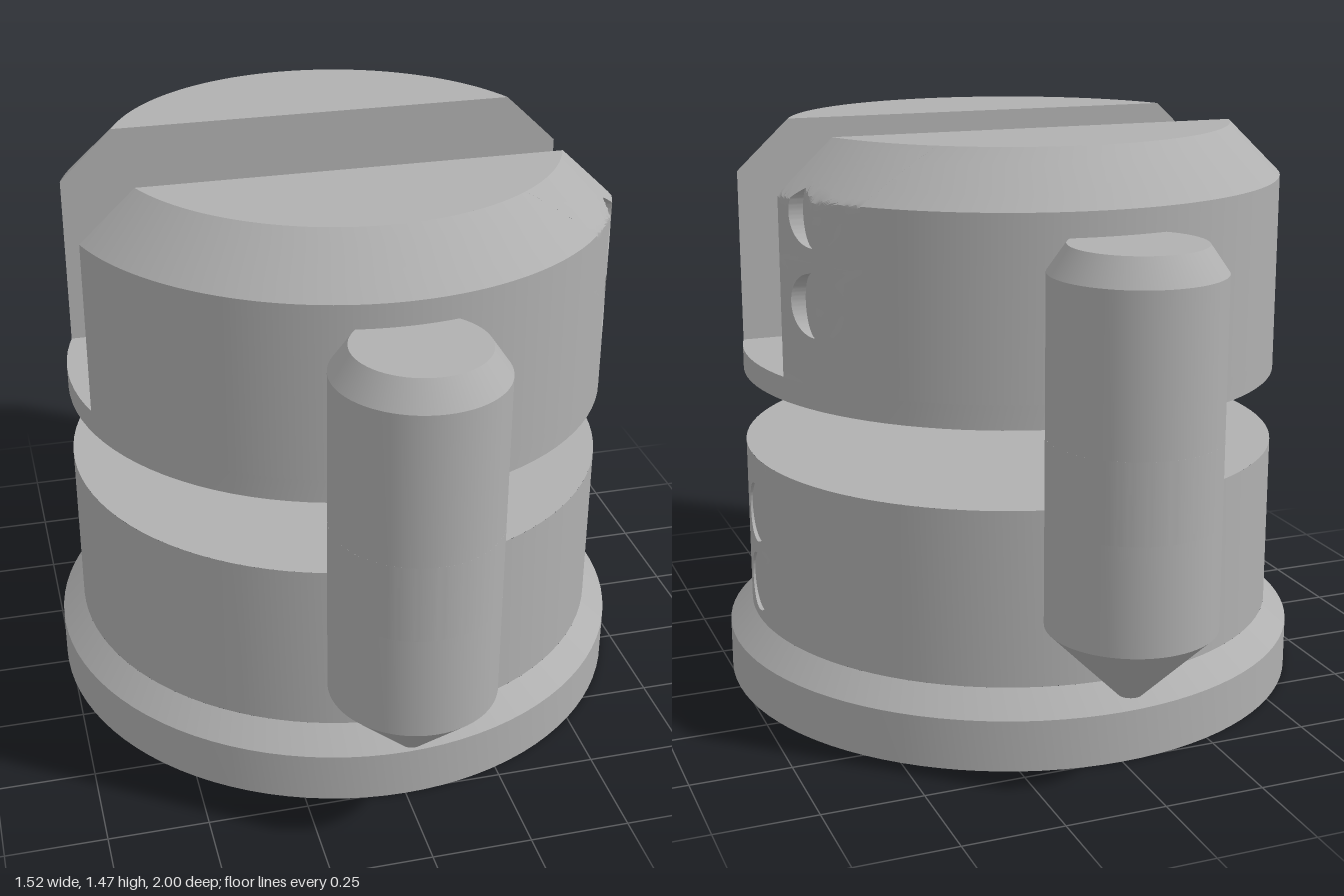
import * as THREE from 'three';
import { toCreasedNormals } from 'three/addons/utils/BufferGeometryUtils.js';
import { ParametricGeometry } from 'three/addons/geometries/ParametricGeometry.js';

const R = 0.70;            // body radius
const SLOT = 0.21;         // half width of the slot
const TOP = 1.465, CHAMFER = 1.335, FLOOR = 0.89;
const LEVELS = [FLOOR, CHAMFER, 1.37, 1.4, 1.43, TOP];

const radiusAt = (y) => R - Math.max(0, y - CHAMFER);
const surfaceX = (z, y) => Math.sqrt(radiusAt(y) ** 2 - z * z);

export function createModel() {
  const model = new THREE.Group();
  const steel = new THREE.MeshStandardMaterial({ color: 0xb0b0b0 });
  steel.name = 'grey steel';

  function add(name, geometry, mirrorZ = false) {
    if (mirrorZ) {
      geometry.scale(1, 1, -1);
      geometry.index.array.reverse();
    }
    const mesh = new THREE.Mesh(toCreasedNormals(geometry, 0.4), steel);
    mesh.name = name;
    model.add(mesh);
    return mesh;
  }

  const lathe = (points, segments) =>
    new THREE.LatheGeometry(points.map(([x, y]) => new THREE.Vector2(x, y)), segments);

  // Curved wall through the given heights, between two angle rules
  function wall(levels, startAngle, endAngle) {
    const rows = levels.length - 1;
    return new ParametricGeometry((u, v, p) => {
      const y = levels[Math.round(v * rows)], r = radiusAt(y);
      const a = THREE.MathUtils.lerp(endAngle(r), startAngle(r), u);
      p.set(r * Math.cos(a), y, r * Math.sin(a));
    }, 96, rows);
  }

  // Piece of curved wall with a flat-bottomed round pocket cut along x
  function pocketTile(cz, cy, radius, halfWidth, y0, y1, floorX) {
    const outer = 8, rings = 14;
    return new ParametricGeometry((u, v, p) => {
      const i = Math.round(v * rings), t = u * Math.PI * 2;
      const c = Math.cos(t), s = Math.sin(t), m = Math.max(Math.abs(c), Math.abs(s));
      let z, y;
      if (i <= outer) {
        const k = i / outer;
        z = cz - THREE.MathUtils.lerp(halfWidth * c / m, radius * c, k);
        y = cy + THREE.MathUtils.lerp((s > 0 ? y1 - cy : cy - y0) * s / m, radius * s, k);
      } else {
        const rho = radius * (rings - i) / (rings - outer - 1);
        z = cz - rho * c;
        y = cy + rho * s;
      }
      const x = surfaceX(z, y);
      p.set(i <= outer ? x : Math.min(x, floorX), y, z);
    }, 96, rings);
  }

  // Lower body: flanged foot, wall with two pockets, flat top
  const lowTop = 0.635, tileHalf = 0.1, edge = Math.asin(tileHalf / R);
  add('baseFlange', lathe([[0, 0], [0.76, 0], [0.76, 0.13], [R, 0.19]], 96));
  add('lowerWall', wall([0.19, lowTop], () => edge, () => Math.PI * 2 - edge));
  add('lowerPocket', pocketTile(0, 0.29, 0.077, tileHalf, 0.19, 0.385, 0.69));
  add('upperPocket', pocketTile(0, 0.48, 0.077, tileHalf, 0.385, lowTop, 0.69));
  add('lowerTop', new THREE.CircleGeometry(R, 96).rotateX(-Math.PI / 2).translate(0, lowTop, 0));

  // Upper body: slab below the slot
  add('slotFloorSlab', new THREE.CylinderGeometry(R, R, FLOOR - 0.83, 96).translate(0, (FLOOR + 0.83) / 2, 0));

  // Upper body: two mirrored halves beside the slot
  const pocketZ = 0.33, half = pocketZ - SLOT, floorX = surfaceX(pocketZ, 1);
  const topR = radiusAt(TOP), a0 = Math.asin(SLOT / topR);
  const side = LEVELS.map((y) => new THREE.Vector2(surfaceX(SLOT, y), y));
  const slotOutline = new THREE.Shape([...side, ...side.map((q) => new THREE.Vector2(-q.x, q.y)).reverse()]);
  const capOutline = new THREE.Shape().absarc(0, 0, topR, a0, Math.PI - a0, false);

  for (const front of [true, false]) {
    const label = front ? 'front' : 'back';
    add(label + 'HalfWall', wall(LEVELS,
      (r) => Math.asin((pocketZ + half) / r), (r) => Math.PI - Math.asin(SLOT / r)), !front);
    add(label + 'HalfLowerPocket', pocketTile(pocketZ, 1.085, 0.078, half, FLOOR, 1.19, floorX), !front);
    add(label + 'HalfUpperPocket', pocketTile(pocketZ, 1.3, 0.078, half, 1.19, TOP, floorX), !front);

    const turn = front ? Math.PI : 0;
    add(label + 'SlotWall', new THREE.ShapeGeometry(slotOutline).translate(0, 0, -SLOT).rotateY(turn));
    add(label + 'HalfTop', new THREE.ShapeGeometry(capOutline, 64)
      .rotateX(-Math.PI / 2).translate(0, TOP, 0).rotateY(turn));
  }

  // Pins: pointed lower end, chamfered upper end, and a flat-cut bridge over the gap
  const pinR = 0.205, pinZ = 0.795, cutZ = 0.712, gapTop = 0.83;
  const cut = Math.asin((pinZ - cutZ) / pinR);
  const bridge = new THREE.Shape().absarc(0, 0, pinR, -cut, Math.PI + cut, false);
  for (const front of [true, false]) {
    const label = front ? 'frontPin' : 'backPin';
    const turn = front ? 0 : Math.PI;
    const place = (g) => g.translate(0, 0, pinZ).rotateY(turn);
    add(label + 'Point', place(lathe([[0, 0.195], [0.03, 0.195], [pinR, 0.37], [pinR, lowTop], [0, lowTop]], 64)));
    add(label + 'Bridge', place(new THREE.ExtrudeGeometry(bridge,
      { depth: gapTop - lowTop, bevelEnabled: false, curveSegments: 48 })
      .rotateX(Math.PI / 2).translate(0, gapTop, 0)));
    add(label + 'Head', place(lathe([[0, gapTop], [pinR, gapTop], [pinR, 1.21], [0.16, 1.275], [0, 1.275]], 64)));
  }

  return model;
}
